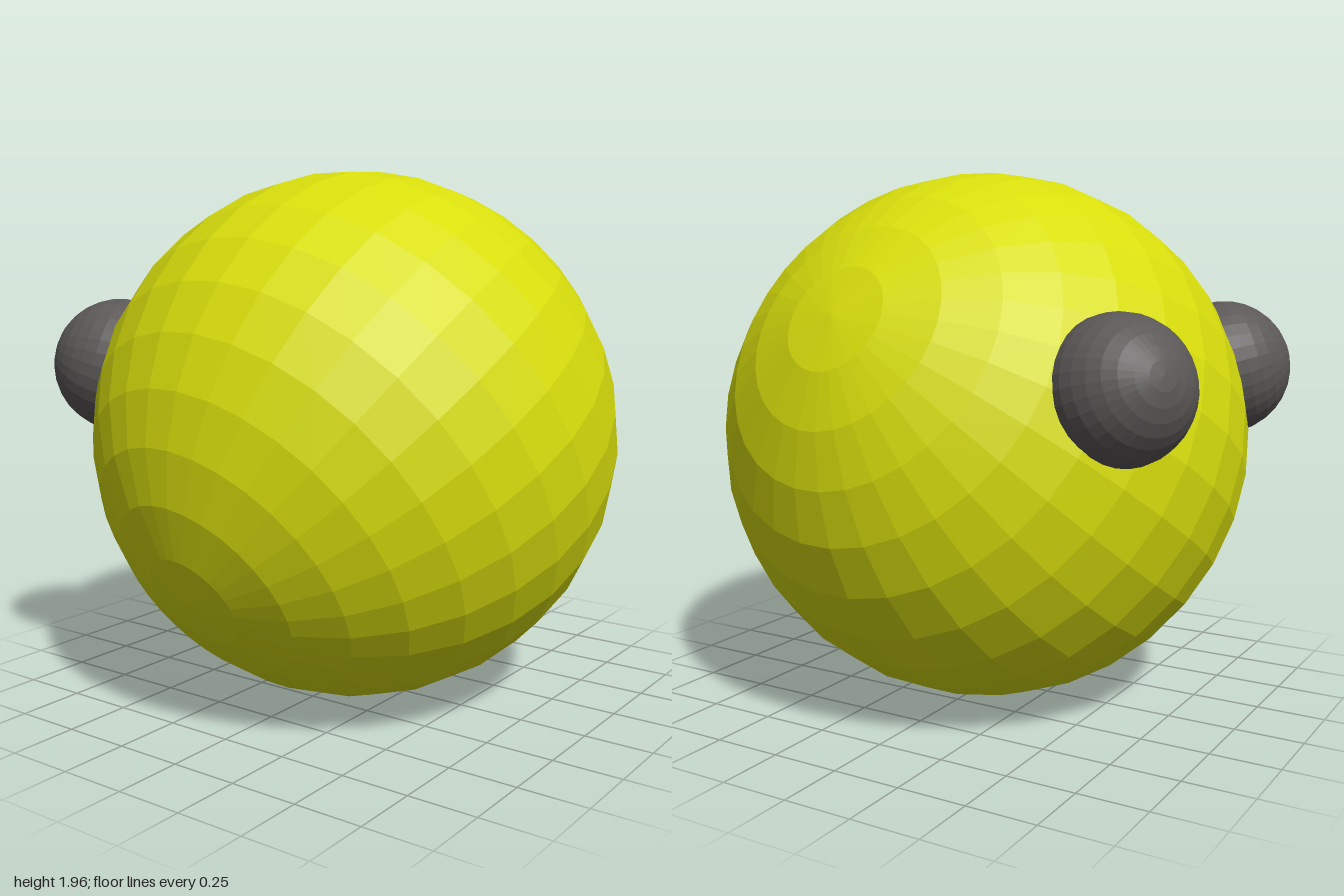
import * as THREE from 'three';

export function createModel() {
  const model = new THREE.Group();

  const yellow = new THREE.MeshStandardMaterial({ color: 0xd8de0c, flatShading: true });
  yellow.name = 'yellow';
  const darkGrey = new THREE.MeshStandardMaterial({ color: 0x5c5858, flatShading: true });
  darkGrey.name = 'dark grey';

  const up = new THREE.Vector3(0, 1, 0);
  const bodyCentre = new THREE.Vector3(0, 0.983, 0.018);

  // Faceted ball whose pole points along the given axis
  function ball(name, radius, centre, axis, material) {
    const mesh = new THREE.Mesh(new THREE.SphereGeometry(radius, 32, 16), material);
    mesh.name = name;
    mesh.position.copy(centre);
    mesh.quaternion.setFromUnitVectors(up, axis.clone().normalize());
    model.add(mesh);
  }

  // Large body with its pole tilted towards the left side
  ball('body', 0.983, bodyCentre, new THREE.Vector3(0.85, 0.49, 0.08), yellow);

  // Two knobs half sunk into the upper back
  for (const [name, side] of [['leftKnob', 1], ['rightKnob', -1]]) {
    const centre = new THREE.Vector3(side * 0.47, 1.24, -0.748);
    ball(name, 0.252, centre, centre.clone().sub(bodyCentre), darkGrey);
  }

  return model;
}
